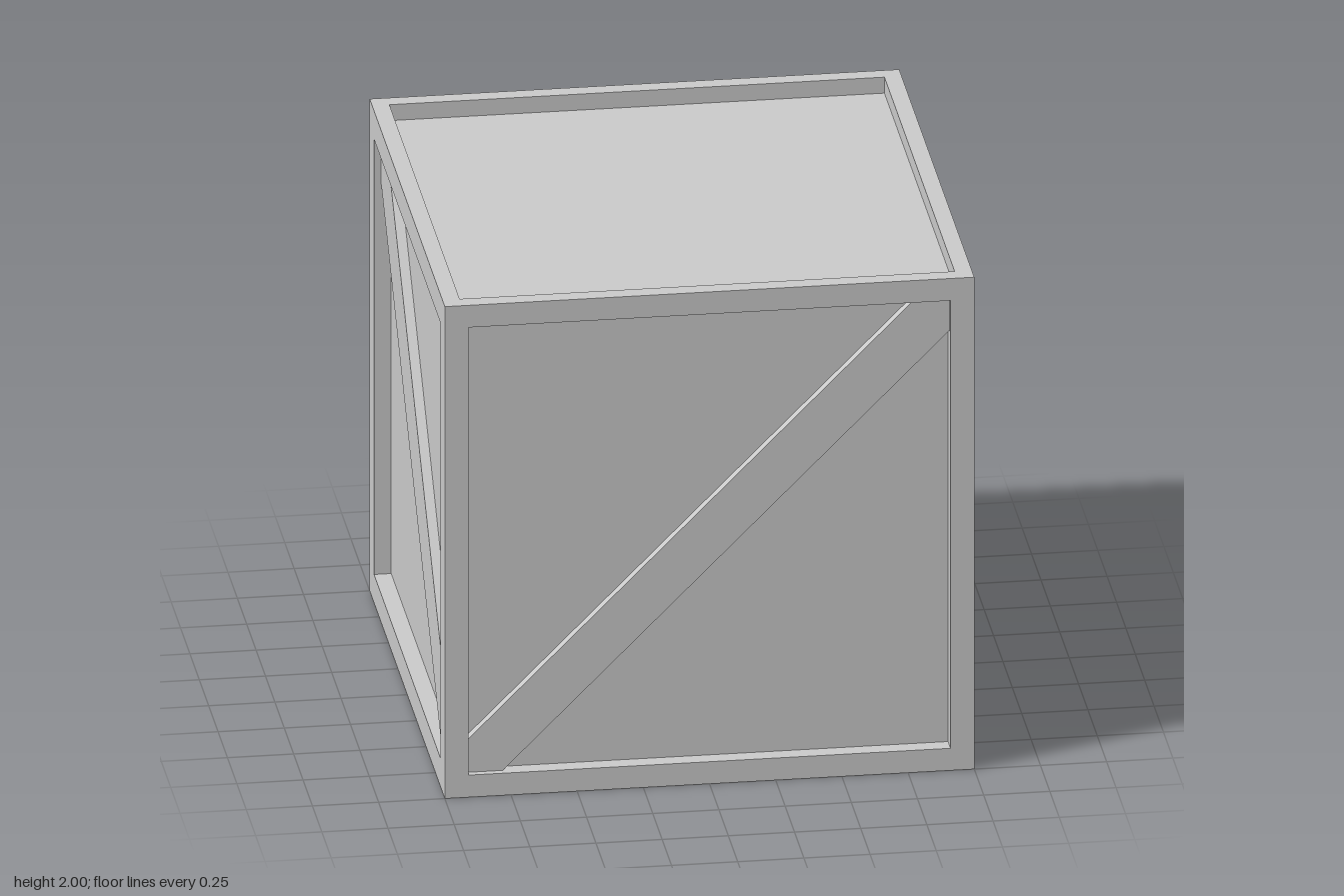
import * as THREE from 'three';

const PANEL = 0.935; // half size of the inner box; frames fill out to 1
const DEPTH = 1 - PANEL;
const BRACE_DEPTH = 0.038;

const material = new THREE.MeshStandardMaterial({ color: 0xcccccc, flatShading: true });

const polygon = (points) => new THREE.Shape(points.map(([x, y]) => new THREE.Vector2(x, y)));
const rectangle = (w, h) => polygon([[-w, -h], [w, -h], [w, h], [-w, h]]);

function extrude(name, shape, depth) {
  const geometry = new THREE.ExtrudeGeometry(shape, { depth, bevelEnabled: false });
  geometry.translate(0, 0, PANEL);
  const mesh = new THREE.Mesh(geometry, material);
  mesh.name = name;
  return mesh;
}

// Picture-frame border: outer half size w x h with a square opening
function frame(w, h, opening) {
  const shape = rectangle(w, h);
  shape.holes.push(rectangle(opening, opening));
  return extrude('frame', shape, DEPTH);
}

// Diagonal board running corner to corner of a square opening, ends cut to fit
function brace(a, cut, flip) {
  const points = [[-a, -a], [cut - a, -a], [a, a - cut], [a, a], [a - cut, a], [-a, cut - a]];
  return extrude('diagonalBrace', polygon(points.map(([x, y]) => [flip * x, y])), BRACE_DEPTH);
}

export function createModel() {
  const crate = new THREE.Group();
  crate.name = 'crate';

  // Inner box whose faces are the recessed panels
  const panels = new THREE.Mesh(new THREE.BoxGeometry(2 * PANEL, 2 * PANEL, 2 * PANEL), material);
  panels.name = 'panels';
  panels.position.y = 1;
  crate.add(panels);

  const addSide = (name, rx, ry, ...parts) => {
    const side = new THREE.Group();
    side.name = name;
    side.rotation.set(rx, ry, 0);
    side.position.y = 1;
    side.add(...parts);
    crate.add(side);
  };

  // Walls, each with a brace; opposite walls mirror each other
  const q = Math.PI / 2;
  addSide('frontSide', 0, 0, frame(1, PANEL, 0.91), brace(0.91, 0.133, 1));
  addSide('backSide', 0, 2 * q, frame(1, PANEL, 0.91), brace(0.91, 0.133, -1));
  addSide('leftSide', 0, q, frame(PANEL, PANEL, 0.885), brace(0.885, 0.182, 1));
  addSide('rightSide', 0, -q, frame(PANEL, PANEL, 0.885), brace(0.885, 0.182, -1));

  // Lid and base: plain frames
  addSide('lid', -q, 0, frame(1, 1, PANEL));
  addSide('base', q, 0, frame(1, 1, PANEL));

  return crate;
}
